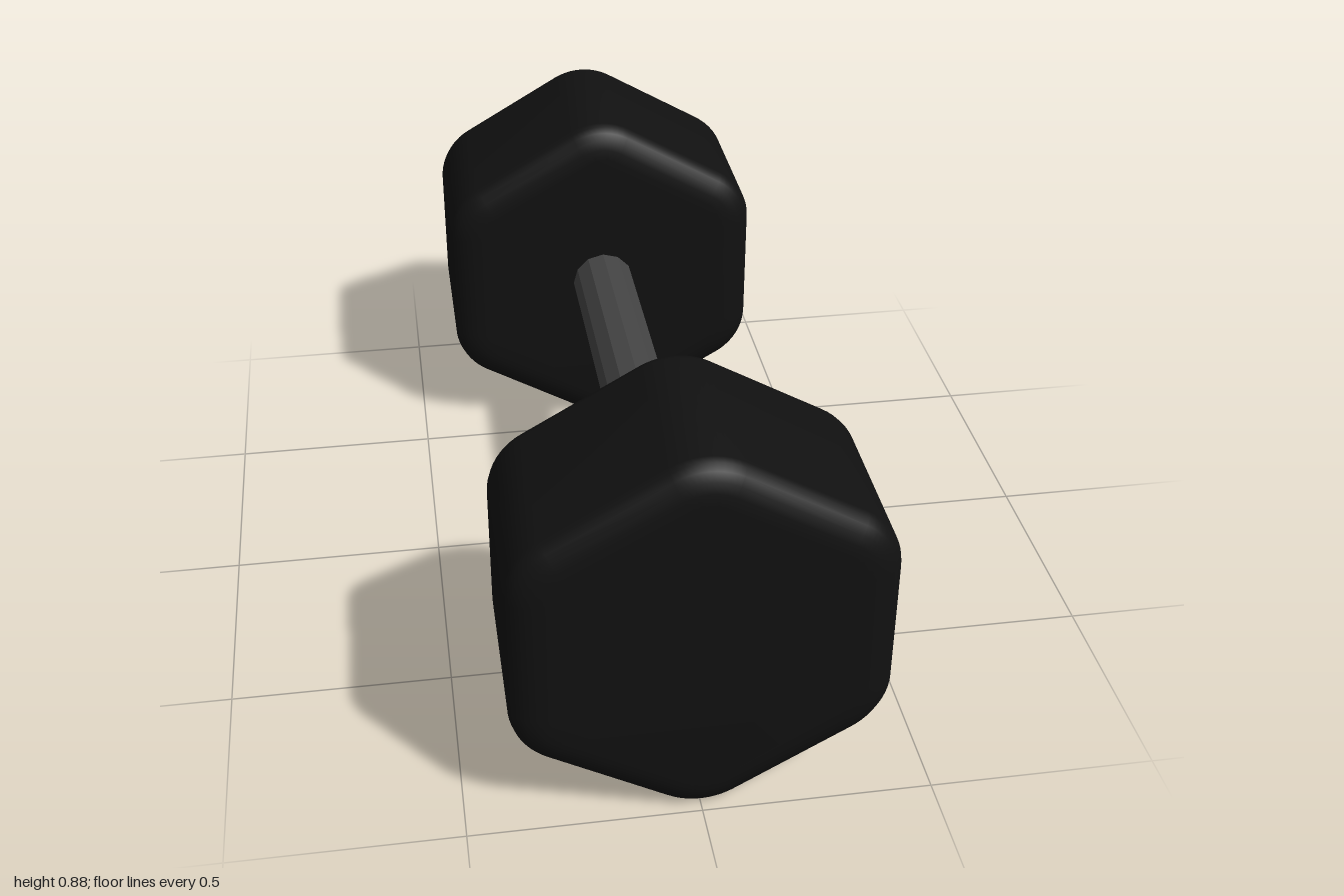
import * as THREE from 'three';
import { toCreasedNormals } from 'three/addons/utils/BufferGeometryUtils.js';

const CENTER_Y = 0.438;
const BEVEL = 0.08;        // how far the face edge is drawn in
const BEVEL_DEPTH = 0.05;  // how far the rounding runs along z
const HEAD_INNER = 0.54;
const HEAD_OUTER = 1;

// Hexagon standing on a corner, every corner rounded by an arc
function roundedHexagon(apothem, radius) {
  const shape = new THREE.Shape();
  const reach = (apothem - radius) / Math.cos(Math.PI / 6);
  for (let i = 0; i < 6; i++) {
    const a = Math.PI / 6 + (i * Math.PI) / 3;
    shape.absarc(reach * Math.cos(a), reach * Math.sin(a), radius, a - Math.PI / 6, a + Math.PI / 6, false);
  }
  shape.closePath();
  return shape;
}

export function createModel() {
  const model = new THREE.Group();
  model.name = 'dumbbell';
  const rubber = new THREE.MeshStandardMaterial({ color: 0x111111 });
  const steel = new THREE.MeshStandardMaterial({ color: 0x444444, flatShading: true });

  // Weight heads: bevelled hexagonal blocks with soft edges
  const length = HEAD_OUTER - HEAD_INNER;
  const block = new THREE.ExtrudeGeometry(roundedHexagon(0.4 - BEVEL, 0.154 - BEVEL), {
    depth: length - 2 * BEVEL_DEPTH,
    bevelSize: BEVEL,
    bevelThickness: BEVEL_DEPTH,
    bevelSegments: 5,
    curveSegments: 5,
  });
  block.translate(0, 0, BEVEL_DEPTH - length / 2);
  const headGeometry = toCreasedNormals(block, 0.7);
  for (const [name, side] of [['frontHead', 1], ['backHead', -1]]) {
    const head = new THREE.Mesh(headGeometry, rubber);
    head.name = name;
    head.position.set(0, CENTER_Y, (side * (HEAD_INNER + HEAD_OUTER)) / 2);
    model.add(head);
  }

  // Twelve-sided grip bar, sunk slightly into both heads
  const handle = new THREE.Mesh(new THREE.CylinderGeometry(0.08, 0.08, 2 * HEAD_INNER + 0.08, 12), steel);
  handle.name = 'handle';
  handle.rotation.x = Math.PI / 2;
  handle.position.y = CENTER_Y;
  model.add(handle);

  return model;
}
